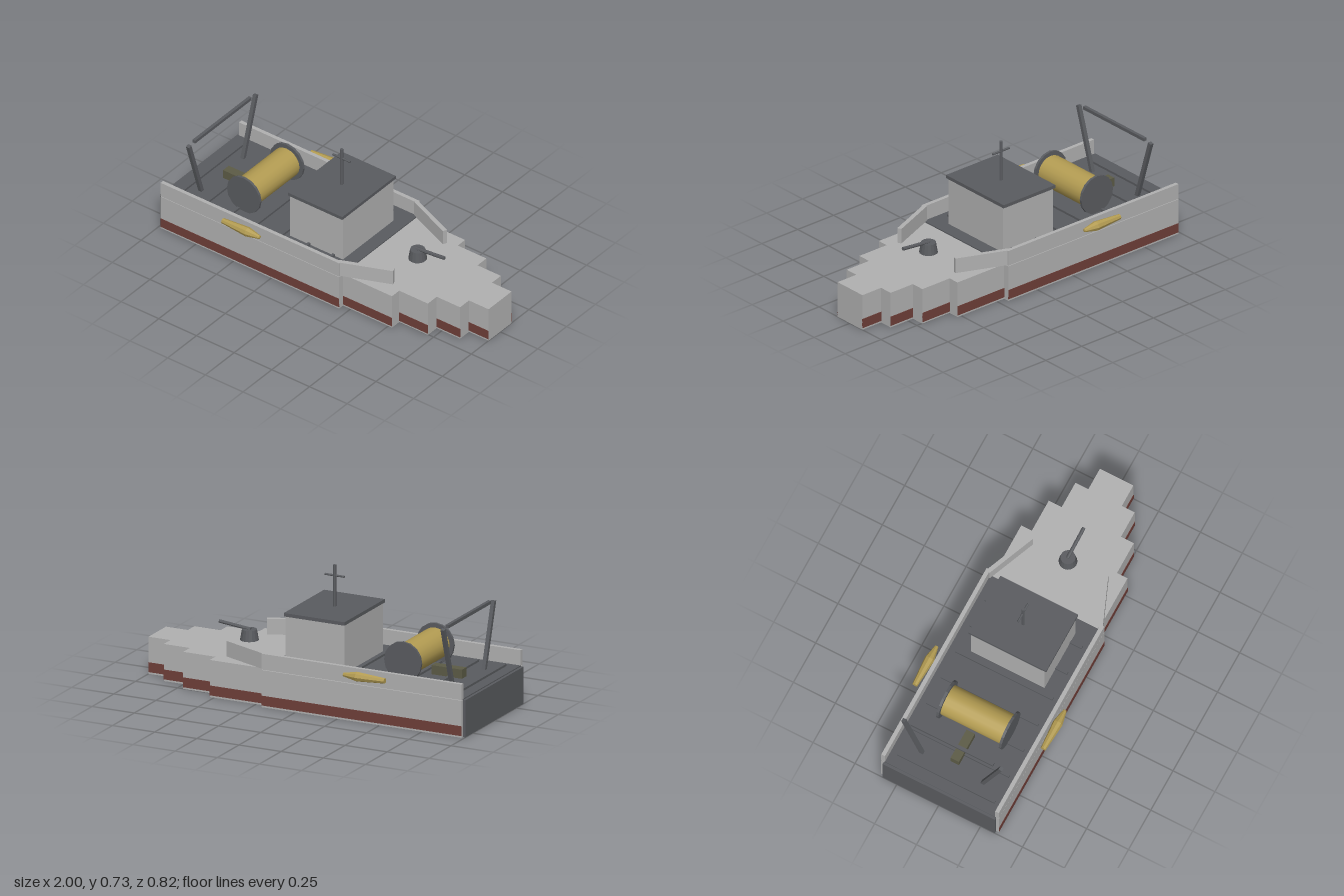
import * as THREE from 'three';

const mat = (name, color, flat = true) => {
  const m = new THREE.MeshStandardMaterial({ color });
  m.name = name;
  m.flatShading = flat;
  return m;
};

export function createModel() {
  const ship = new THREE.Group();
  ship.name = 'patrolBoat';
  const grey = mat('light grey paint', 0xb0b0b0);
  const dark = mat('dark grey metal', 0x595b5f);
  const red = mat('red waterline', 0x6e3e38);
  const gold = mat('brass', 0xb39c52);
  const olive = mat('olive', 0x5c5b46);

  const add = (name, geometry, material, x = 0, y = 0, z = 0) => {
    const m = new THREE.Mesh(geometry, material);
    m.name = name;
    m.position.set(x, y, z);
    ship.add(m);
    return m;
  };
  // box given by its limits on each axis
  const box = (name, material, x0, x1, y0, y1, z0, z1) =>
    add(name, new THREE.BoxGeometry(x1 - x0, y1 - y0, z1 - z0), material,
      (x0 + x1) / 2, (y0 + y1) / 2, (z0 + z1) / 2);
  // round bar between two points
  const bar = (name, material, a, b, r, sides) => {
    const p = new THREE.Vector3(...a), q = new THREE.Vector3(...b);
    const d = q.clone().sub(p);
    const mid = p.clone().add(q).multiplyScalar(0.5);
    const m = add(name, new THREE.CylinderGeometry(r, r, d.length(), sides), material, mid.x, mid.y, mid.z);
    m.quaternion.setFromUnitVectors(new THREE.Vector3(0, 1, 0), d.normalize());
    return m;
  };

  // stepped hull with a red strip along each side
  const sections = [
    [-0.985, 0.2, 0.351], [0.2, 0.525, 0.317], [0.525, 0.715, 0.254],
    [0.715, 0.87, 0.177], [0.87, 1, 0.1],
  ];
  for (const [x0, x1, w] of sections) {
    box('hullSection', grey, x0, x1, 0, 0.205, -w, w);
    for (const s of [-1, 1]) {
      box('waterlineStrip', red, x0, x1, 0.01, 0.064, s * w - 0.002, s * w + 0.002);
    }
  }
  box('transom', dark, -1, -0.985, 0, 0.205, -0.335, 0.335);

  // working deck and its cross ribs
  box('deck', dark, -0.985, 0.2, 0.203, 0.211, -0.334, 0.334);
  for (let i = 0; i < 7; i++) {
    const x = -0.915 + i * 0.1635;
    box('deckRib', dark, x - 0.008, x + 0.008, 0.211, 0.223, -0.29, 0.29);
  }

  // bulwarks with inward-angled forward wings
  for (const s of [-1, 1]) {
    box('bulwark', grey, -0.985, 0.2, 0.208, 0.295, s * 0.34 - 0.011, s * 0.34 + 0.011);
    const wing = add('bulwarkWing', new THREE.BoxGeometry(0.3, 0.086, 0.024), grey, 0.325, 0.252, s * 0.279);
    wing.rotation.y = s * Math.atan2(0.11, 0.27);
  }

  // cabin, roof and mast
  box('cabin', grey, -0.225, 0.125, 0.211, 0.478, -0.22, 0.22);
  box('cabinRoof', dark, -0.23, 0.13, 0.478, 0.497, -0.232, 0.232);
  bar('mast', dark, [-0.052, 0.497, 0], [-0.052, 0.726, 0], 0.009, 8);
  bar('mastCrossbar', dark, [-0.11, 0.667, 0], [0.006, 0.667, 0], 0.006, 8);

  // stern gantry: two splayed posts and a top beam
  for (const s of [-1, 1]) {
    const post = add('gantryPost', new THREE.BoxGeometry(0.021, 0.37, 0.021), dark, -0.845, 0.385, s * 0.236);
    post.rotation.x = s * 0.3;
  }
  box('gantryBeam', dark, -0.854, -0.836, 0.556, 0.574, -0.245, 0.245);

  // cable drum, flanges and the block behind it
  const brassSmooth = gold.clone();
  brassSmooth.flatShading = false;
  brassSmooth.name = 'smooth brass';
  bar('drum', brassSmooth, [-0.555, 0.315, -0.18], [-0.555, 0.315, 0.18], 0.086, 20);
  for (const s of [-1, 1]) {
    bar('drumFlange', dark, [-0.555, 0.315, s * 0.18], [-0.555, 0.315, s * 0.194], 0.11, 16);
  }
  box('winchBlock', olive, -0.82, -0.64, 0.212, 0.262, -0.025, 0.025);

  // torpedoes slung outside the hull
  const profile = [[0, 0], [0.015, 0], [0.027, 0.165], [0.01, 0.245], [0, 0.247]]
    .map(([r, h]) => new THREE.Vector2(r, h));
  for (const s of [-1, 1]) {
    const t = add('torpedo', new THREE.LatheGeometry(profile, 8), gold, -0.547, 0.261, s * 0.383);
    t.rotation.z = -Math.PI / 2;
  }

  // bow gun
  add('gunMount', new THREE.CylinderGeometry(0.04, 0.05, 0.058, 16), dark, 0.453, 0.269, 0);
  bar('gunBarrel', dark, [0.445, 0.298, 0], [0.631, 0.317, 0], 0.01, 8);

  return ship;
}
